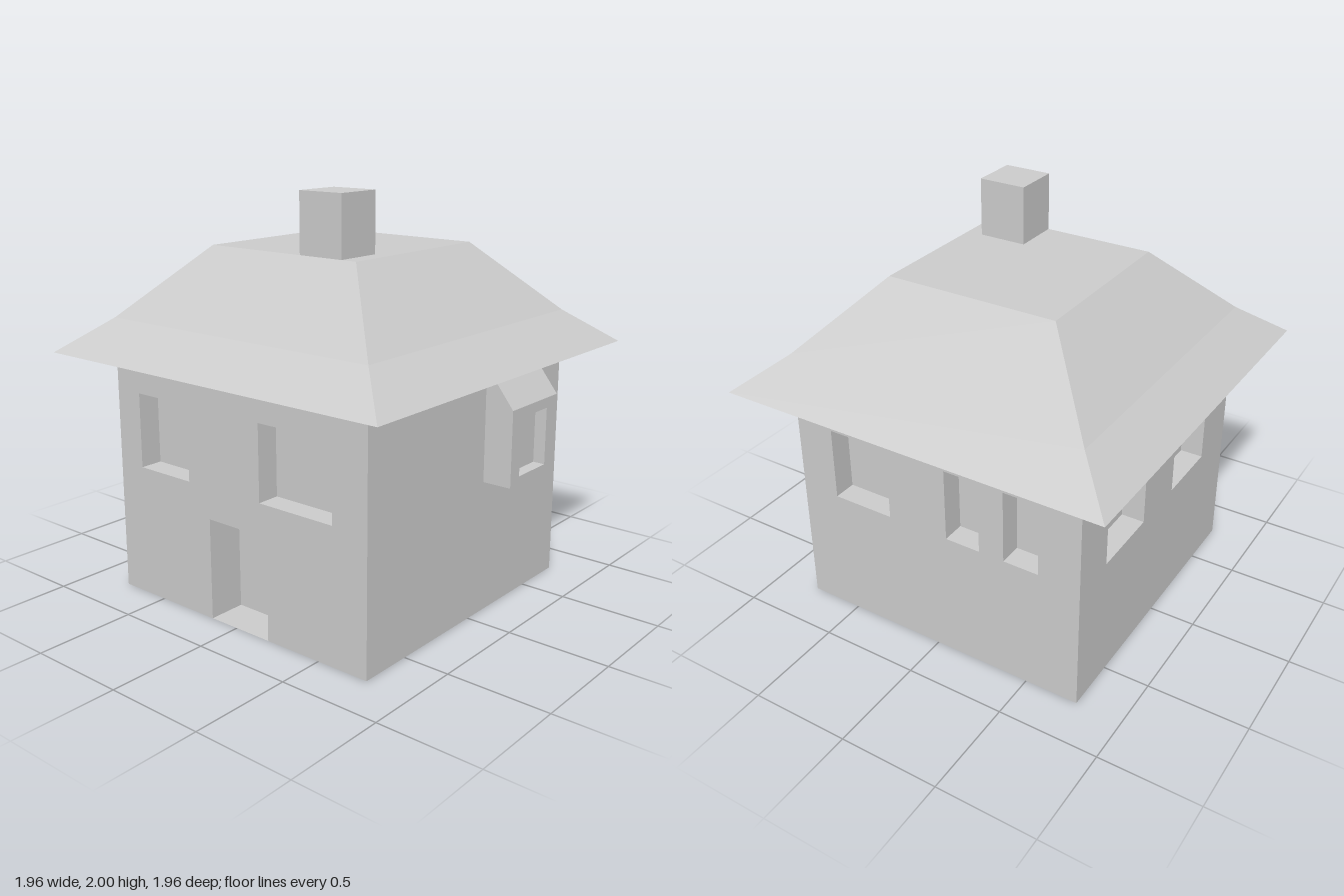
import * as THREE from 'three';

const WALL = 0.77, EAVE = 1.21;
const grey = new THREE.MeshStandardMaterial({ color: 0xcccccc });

function add(parent, name, geometry) {
  const mesh = new THREE.Mesh(geometry, grey);
  mesh.name = name;
  parent.add(mesh);
  return mesh;
}

// Box without its +z face
function openBox(w, h, d) {
  const geo = new THREE.BoxGeometry(w, h, d);
  const index = Array.from(geo.index.array);
  index.splice(24, 6);
  geo.setIndex(index);
  geo.clearGroups();
  return geo;
}

// Inward-facing niche sunk behind an opening at depth z
function addNiche(parent, name, [x0, x1, y0, y1, depth], z) {
  const geo = openBox(x1 - x0, y1 - y0, depth);
  geo.setIndex(Array.from(geo.index.array).reverse());
  geo.computeVertexNormals();
  add(parent, name, geo).position.set((x0 + x1) / 2, (y0 + y1) / 2, z - depth / 2);
}

// Flat panel [x0, x1, y0, y1] with recessed windows and an optional door at the foot
function addPanel(parent, name, [x0, x1, y0, y1], z, windows, door) {
  const outline = [[x0, y0]];
  if (door) {
    const [a, b, , top] = door;
    outline.push([a, y0], [a, top], [b, top], [b, y0]);
    addNiche(parent, 'doorway', door, z);
  }
  outline.push([x1, y0], [x1, y1], [x0, y1]);
  const shape = new THREE.Shape(outline.map(p => new THREE.Vector2(...p)));
  for (const win of windows) {
    const [a, b, c, d] = win;
    shape.holes.push(new THREE.Path([[a, c], [a, d], [b, d], [b, c]].map(p => new THREE.Vector2(...p))));
    addNiche(parent, 'windowRecess', win, z);
  }
  add(parent, name, new THREE.ShapeGeometry(shape)).position.z = z;
}

export function createModel() {
  const house = new THREE.Group();
  house.name = 'house';

  // Four walls, each described facing +z and turned into place
  const win = (a, b, y0 = 0.655) => [a, b, y0, 1.025, 0.115];
  const walls = [
    { name: 'frontWall', turn: 0, windows: [] },
    { name: 'leftWall', turn: 1, windows: [win(-0.57, -0.25), win(0.07, 0.25), win(0.38, 0.56)] },
    { name: 'backWall', turn: 2, windows: [win(-0.53, -0.16, 0.64), win(0.145, 0.5, 0.64)] },
    { name: 'rightWall', turn: 3, windows: [win(-0.62, -0.29), win(0.16, 0.58)], door: [-0.16, 0.2, 0, 0.5, 0.19] },
  ];
  for (const { name, turn, windows, door } of walls) {
    const side = new THREE.Group();
    side.name = name + 'Group';
    side.rotation.y = turn * Math.PI / 2;
    addPanel(side, name, [-WALL, WALL, 0, EAVE], WALL, windows, door);
    house.add(side);
  }

  // Underside of the house
  const base = new THREE.PlaneGeometry(2 * WALL, 2 * WALL);
  base.rotateX(Math.PI / 2);
  add(house, 'base', base);

  // Bay window: a box whose top slopes down to the front
  const bay = new THREE.Group();
  bay.name = 'bayWindow';
  const [bx0, bx1, by0, by1, bz] = [0.1, 0.495, 0.655, 1.025, 0.915];
  const body = openBox(bx1 - bx0, EAVE - by0, bz - WALL);
  body.translate((bx0 + bx1) / 2, (by0 + EAVE) / 2, (bz + WALL) / 2);
  const bp = body.attributes.position;
  for (let i = 0; i < bp.count; i++) {
    if (bp.getZ(i) > 0.85 && bp.getY(i) > 1) bp.setY(i, by1);
  }
  body.computeVertexNormals();
  add(bay, 'bayBody', body);
  addPanel(bay, 'bayFront', [bx0, bx1, by0, by1], bz, [[0.175, 0.405, 0.695, 0.975, 0.06]]);
  house.add(bay);

  // Hipped roof: three square rings with a flared eave and flat top
  const rings = [[0.98, EAVE], [0.77, 1.375], [0.435, 1.715]];
  const tube = new THREE.CylinderGeometry(Math.SQRT2, Math.SQRT2, 2, 4, 2);
  tube.rotateY(Math.PI / 4);
  const roof = tube.toNonIndexed();
  const rp = roof.attributes.position;
  for (let i = 0; i < rp.count; i++) {
    const [half, y] = rings[Math.round(rp.getY(i)) + 1];
    rp.setXYZ(i, rp.getX(i) * half, y, rp.getZ(i) * half);
  }
  roof.computeVertexNormals();
  add(house, 'roof', roof);

  // Chimney
  const chimney = add(house, 'chimney', new THREE.BoxGeometry(0.235, 0.285, 0.24));
  chimney.position.set(-0.3175, 1.8575, 0.235);

  return house;
}
